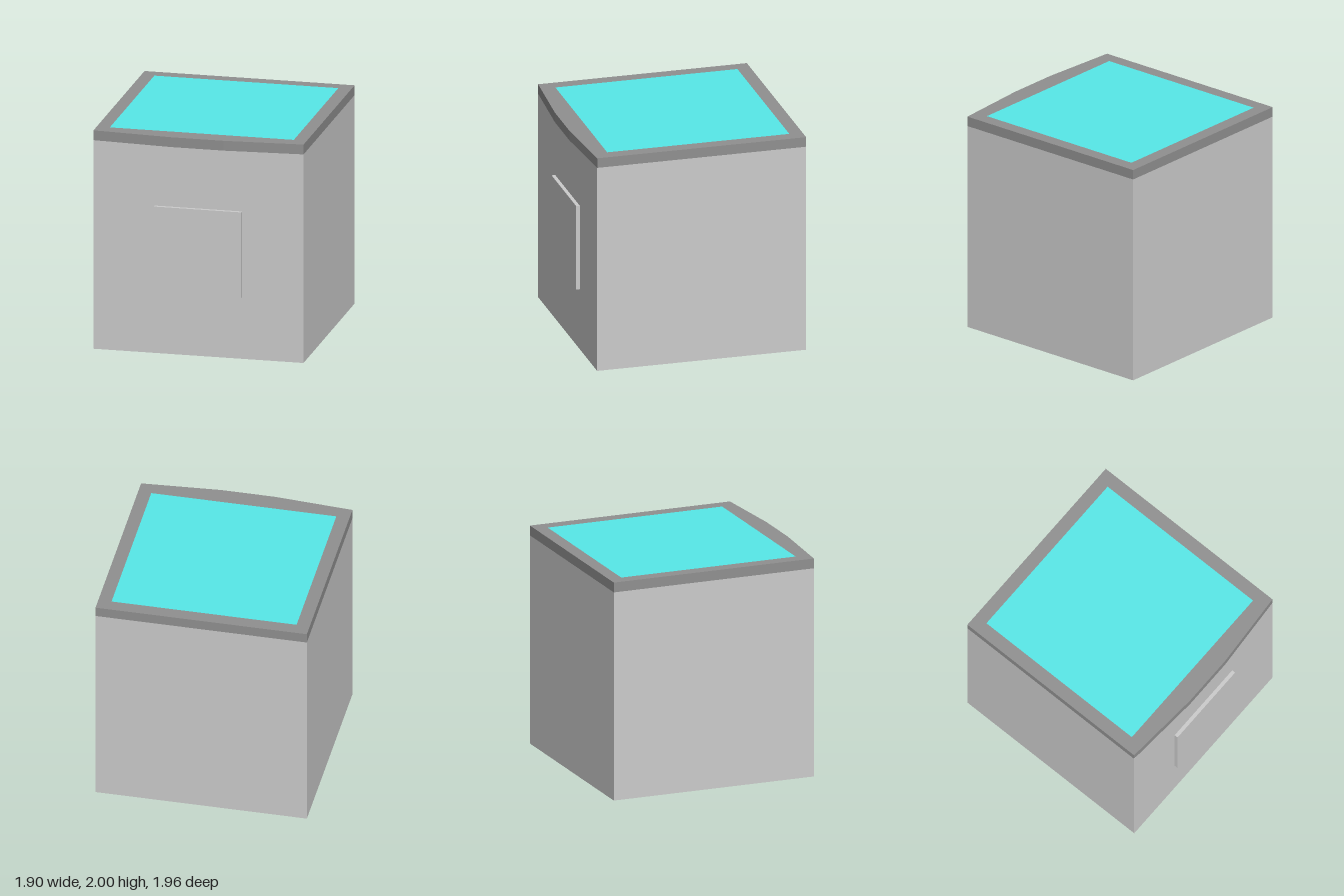
import * as THREE from 'three';

const material = (color) => new THREE.MeshStandardMaterial({ color, flatShading: true });

// Box given by its minimum and maximum corners
function box(name, min, max, mat) {
  const size = max.map((v, i) => v - min[i]);
  const mesh = new THREE.Mesh(new THREE.BoxGeometry(...size), mat);
  mesh.position.set(...max.map((v, i) => (v + min[i]) / 2));
  mesh.name = name;
  return mesh;
}

export function createModel() {
  const group = new THREE.Group();
  const light = material(0xcccccc);
  const dark = material(0x909090);
  const cyan = material(0x56e8e8);
  const rimBottom = 1.91, top = 2;

  // Main block and the raised panel on its front
  group.add(box('body', [-0.95, 0, -0.98], [0.95, rimBottom, 0.93], light));
  group.add(box('frontPanel', [-0.395, 0.565, 0.92], [0.395, 1.35, 0.963], light));

  // Rim outline in plan (shape y = -z), bowed out along the front
  const rimShape = new THREE.Shape([
    [-0.95, -0.928], [-0.24, -0.978], [0.24, -0.978], [0.95, -0.928],
    [0.95, 0.98], [-0.95, 0.98],
  ].map(([x, y]) => new THREE.Vector2(x, y)));
  const [x0, x1, z0, z1] = [-0.832, 0.832, -0.86, 0.804];
  rimShape.holes.push(new THREE.Path([
    [x0, -z0], [x1, -z0], [x1, -z1], [x0, -z1],
  ].map(([x, y]) => new THREE.Vector2(x, y))));
  const rimGeometry = new THREE.ExtrudeGeometry(rimShape, { depth: top - rimBottom, bevelEnabled: false });
  rimGeometry.rotateX(-Math.PI / 2);
  const rim = new THREE.Mesh(rimGeometry, dark);
  rim.position.y = rimBottom;
  rim.name = 'topRim';
  group.add(rim);

  // Coloured plate set flush inside the rim
  group.add(box('topPlate', [x0, rimBottom, z0], [x1, top, z1], cyan));

  return group;
}
